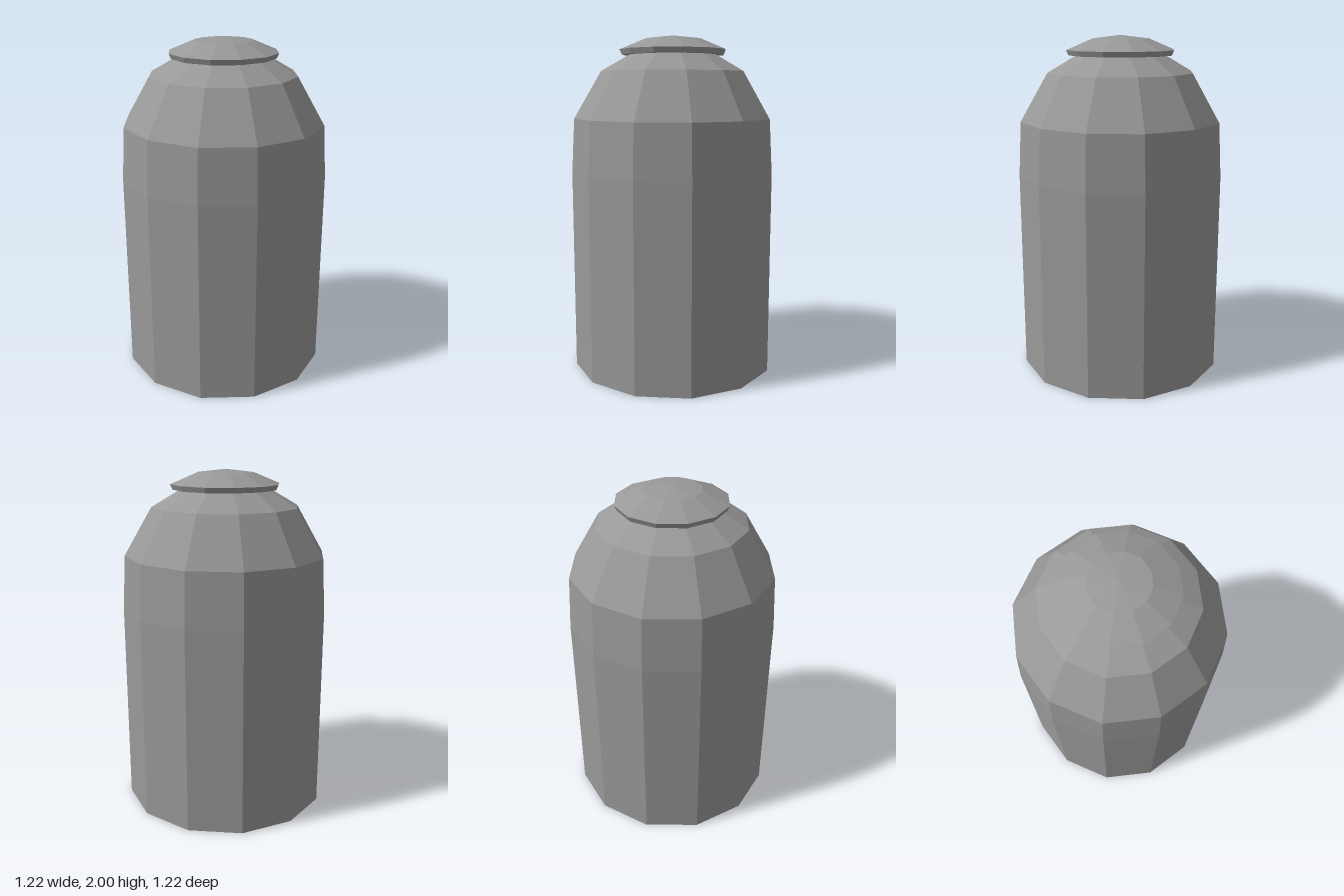
import * as THREE from 'three';

const SIDES = 12;

// Faceted solid of revolution from [radius, height] pairs
function turned(name, profile) {
  const points = profile.map(([r, y]) => new THREE.Vector2(r, y));
  const material = new THREE.MeshStandardMaterial({ color: 0x999999, flatShading: true });
  const mesh = new THREE.Mesh(new THREE.LatheGeometry(points, SIDES), material);
  mesh.name = name;
  return mesh;
}

export function createModel() {
  const group = new THREE.Group();
  group.name = 'domedCover';

  // Hollow shell: down the inner wall, across the rim, up the outer wall
  group.add(turned('shell', [
    [0, 1.92], [0.23, 1.865], [0.41, 1.76], [0.56, 1.5], [0.577, 1.2], [0.577, 0],
    [0.609, 0], [0.609, 1.2], [0.591, 1.515], [0.43, 1.79], [0.24, 1.9], [0, 1.95],
  ]));

  // Shallow cap with a thin lip over the dome
  group.add(turned('cap', [
    [0.24, 1.887], [0.306, 1.887], [0.319, 1.917], [0.168, 1.98], [0, 2],
  ]));

  return group;
}
